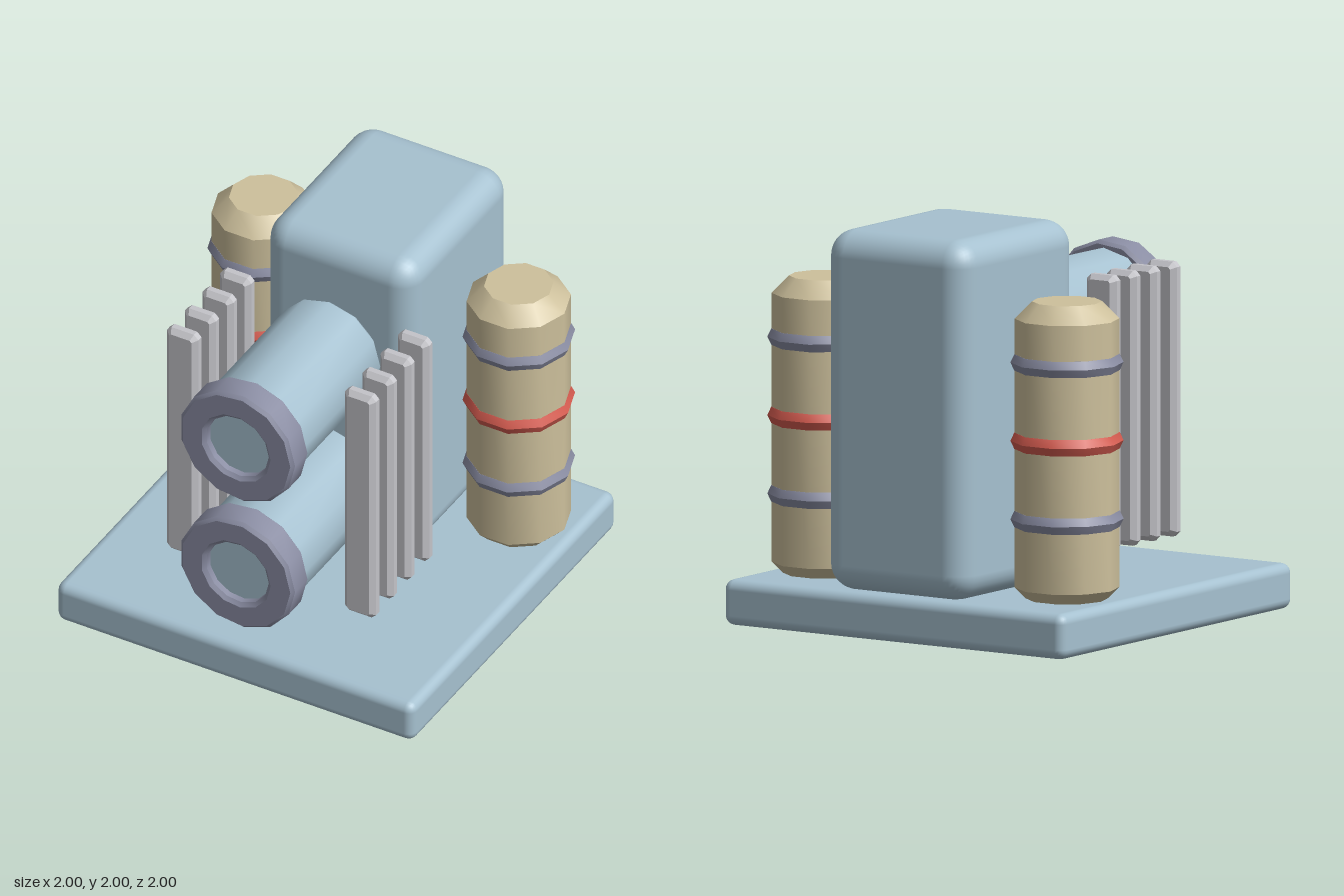
import * as THREE from 'three';
import { toCreasedNormals } from 'three/addons/utils/BufferGeometryUtils.js';
import { RoundedBoxGeometry } from 'three/addons/geometries/RoundedBoxGeometry.js';

const material = (name, color) => {
  const m = new THREE.MeshStandardMaterial({ color });
  m.name = name;
  return m;
};

// Turned solid with a corner on +x; bevels stay sharp, the round stays smooth.
function turned(profile, sides) {
  const points = profile.map(([r, y]) => new THREE.Vector2(r, y));
  return toCreasedNormals(new THREE.LatheGeometry(points, sides, Math.PI / 2), 0.7);
}

// Cylinder along y with both rims cut at 45 degrees.
function capsule(radius, bottom, top, bevel, sides) {
  return turned([
    [0, bottom], [radius - bevel, bottom], [radius, bottom + bevel],
    [radius, top - bevel], [radius - bevel, top], [0, top],
  ], sides);
}

// Thin upright bar with all edges chamfered, centred on the origin.
function chamferedBar(width, height, depth, bevel) {
  const x = width / 2 - bevel, y = height / 2 - bevel, c = 0.01;
  const shape = new THREE.Shape([
    [x, c - y], [x, y - c], [x - c, y], [c - x, y],
    [-x, y - c], [-x, c - y], [c - x, -y], [x - c, -y],
  ].map(([px, py]) => new THREE.Vector2(px, py)));
  return new THREE.ExtrudeGeometry(shape, {
    depth: depth - 2 * bevel, bevelEnabled: true,
    bevelThickness: bevel, bevelSize: bevel, bevelSegments: 1,
  }).translate(0, 0, bevel - depth / 2);
}

export function createModel() {
  const model = new THREE.Group();
  model.name = 'machine';

  const blue = material('paleBlue', 0xa6c1d0);
  const tan = material('sand', 0xcdc09c);
  const slate = material('slate', 0x8a8da3);
  const red = material('red', 0xd65c50);
  const silver = material('silver', 0xc4c4c9);

  function add(parent, name, geometry, mat, x = 0, y = 0, z = 0) {
    const mesh = new THREE.Mesh(geometry, mat);
    mesh.name = name;
    mesh.position.set(x, y, z);
    parent.add(mesh);
    return mesh;
  }

  // Base plate and main housing
  add(model, 'basePlate', new RoundedBoxGeometry(2, 0.225, 2, 3, 0.05), blue, 0, 0.1175, 0);
  add(model, 'housing', new RoundedBoxGeometry(0.84, 1.77, 1, 4, 0.13), blue, 0, 1.115, -0.5);

  // Two forward barrels, each with a bevelled muzzle ring
  const barrelGeometry = capsule(0.285, -0.02, 0.93, 0.085, 12).rotateX(Math.PI / 2);
  const muzzleGeometry = turned([
    [0.175, 0.84], [0.195, 0.825], [0.305, 0.825], [0.322, 0.842], [0.322, 0.963],
    [0.305, 0.98], [0.195, 0.98], [0.175, 0.963], [0.175, 0.84],
  ], 13).rotateX(Math.PI / 2);
  [['upper', 1.425], ['lower', 0.655]].forEach(([level, y]) => {
    add(model, level + 'Barrel', barrelGeometry, blue, 0, y, 0);
    add(model, level + 'MuzzleRing', muzzleGeometry, slate, 0, y, 0);
  });

  // Banded tanks and cooling fins, mirrored on both sides
  const tankGeometry = capsule(0.255, 0.2, 1.69, 0.085, 10);
  const bandGeometry = turned([
    [0.23, -0.04], [0.256, -0.04], [0.275, 0], [0.256, 0.04], [0.23, 0.04],
  ], 10);
  const finGeometry = chamferedBar(0.175, 1.35, 0.08, 0.025);
  for (const [side, s] of [['left', 1], ['right', -1]]) {
    const tank = new THREE.Group();
    tank.name = side + 'Tank';
    tank.position.set(s * 0.713, 0, -0.54);
    tank.rotation.y = s > 0 ? 0 : Math.PI;
    model.add(tank);
    add(tank, 'tankBody', tankGeometry, tan);
    add(tank, 'lowerBand', bandGeometry, slate, 0, 0.62, 0);
    add(tank, 'middleBand', bandGeometry, red, 0, 1.005, 0);
    add(tank, 'upperBand', bandGeometry, slate, 0, 1.39, 0);

    for (let i = 0; i < 4; i++) {
      add(model, side + 'Fin' + (i + 1), finGeometry, silver, s * 0.497, 1.045, 0.095 + i * 0.173);
    }
  }

  return model;
}
